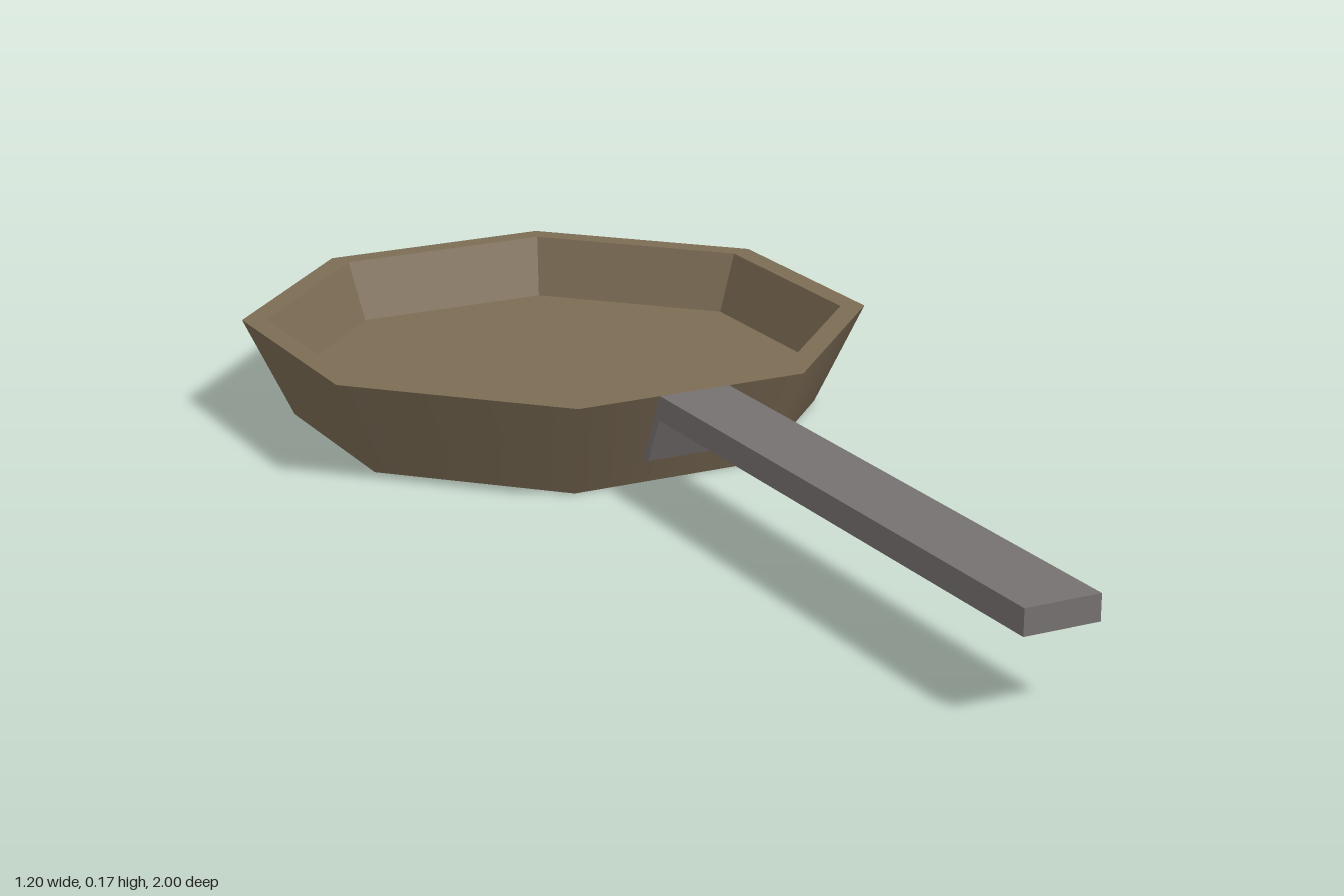
import * as THREE from 'three';

const SIDES = 8;

export function createModel() {
  const model = new THREE.Group();
  model.name = 'fryingPan';

  const panBrown = new THREE.MeshStandardMaterial({ color: 0x7c6c55 });
  panBrown.name = 'panBrown';
  const handleGrey = new THREE.MeshStandardMaterial({ color: 0x767170 });
  handleGrey.name = 'handleGrey';

  // Pan and handle share the pan's axis as origin
  const pan = new THREE.Group();
  pan.name = 'pan';
  pan.position.set(-0.06, 0, -0.46);
  model.add(pan);

  const add = (name, geometry, material) => {
    const mesh = new THREE.Mesh(geometry, material);
    mesh.name = name;
    pan.add(mesh);
    return mesh;
  };

  // Eight-sided faceted surface of revolution
  const facetedLathe = (profile) => {
    const points = profile.map(([r, y]) => new THREE.Vector2(r, y));
    const geometry = new THREE.LatheGeometry(points, SIDES).toNonIndexed();
    geometry.computeVertexNormals();
    return geometry;
  };

  // Outer wall, smooth around
  const wall = new THREE.CylinderGeometry(0.54, 0.455, 0.172, SIDES, 1, true);
  wall.translate(0, 0.086, 0);
  add('outerWall', wall, panBrown);

  // Underside, then rim, inner wall and cooking surface
  add('underside', facetedLathe([[0, 0], [0.455, 0]]), panBrown);
  add('rimAndInside', facetedLathe([[0.54, 0.172], [0.498, 0.172], [0.459, 0.07], [0, 0.07]]), panBrown);

  // Handle bar with a sloped tab lying against the wall
  const side = new THREE.Shape([
    [0.497, 0.172], [0.442, 0.05], [0.46, 0.05], [0.496, 0.13], [1.555, 0.13], [1.555, 0.172],
  ].map(([r, y]) => new THREE.Vector2(r, y)));
  const width = 0.127;
  const bar = new THREE.ExtrudeGeometry(side, { depth: width, bevelEnabled: false });
  bar.translate(0, 0, -width / 2 - 0.004);
  const handle = add('handle', bar, handleGrey);
  handle.rotation.y = -THREE.MathUtils.degToRad(67.5);

  return model;
}
